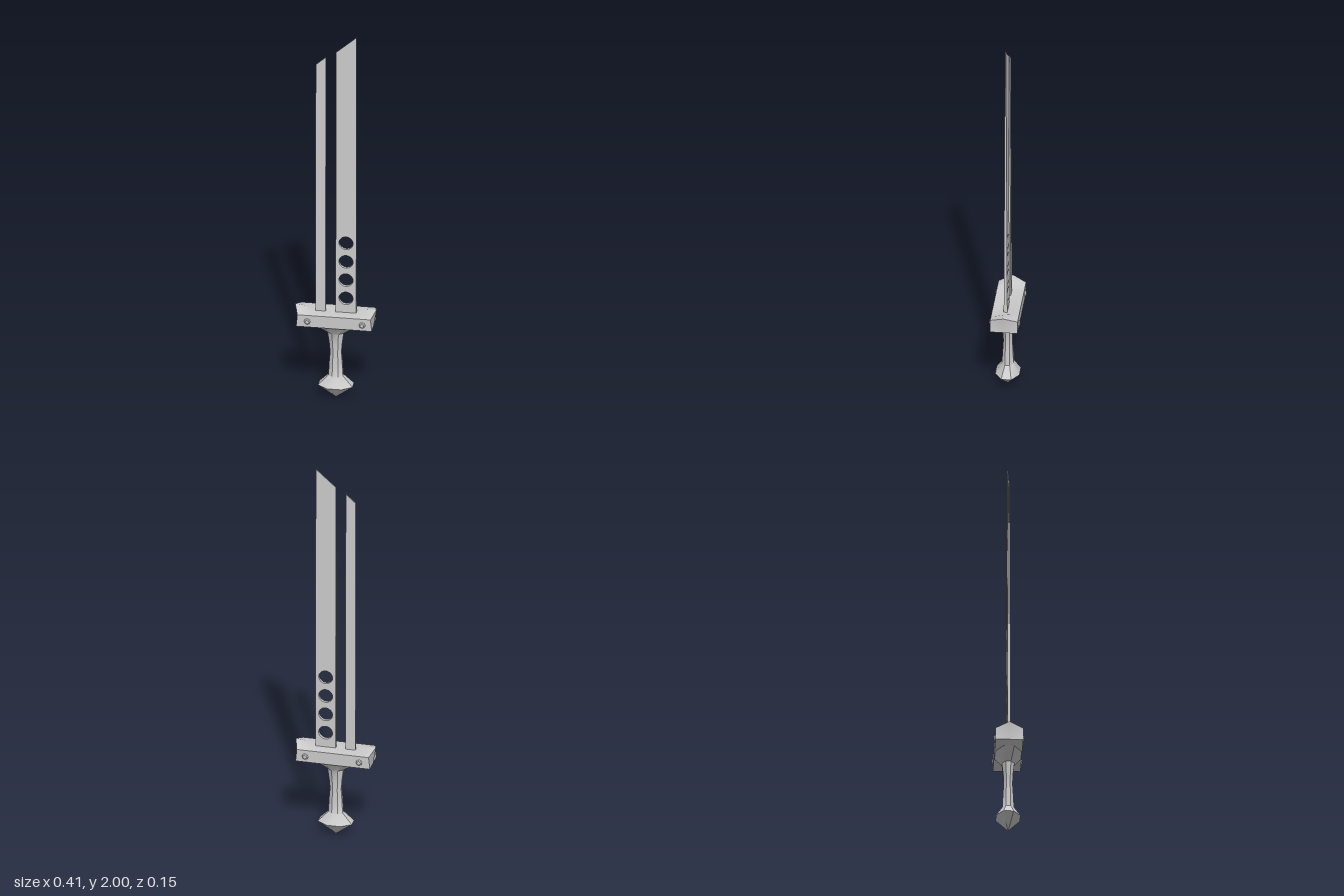
import * as THREE from 'three';
import { toCreasedNormals } from 'three/addons/utils/BufferGeometryUtils.js';

const material = new THREE.MeshStandardMaterial({ color: 0xcccccc });
const Z0 = -0.001;

function addMesh(group, geometry, name) {
  const mesh = new THREE.Mesh(toCreasedNormals(geometry, 0.6), material);
  mesh.name = name;
  group.add(mesh);
  return mesh;
}

// Skin through rings of equal point count, closed by fans at both ends
function loft(rings) {
  const n = rings[0].length;
  const index = [];
  for (let r = 0; r < rings.length - 1; r++) {
    for (let i = 0; i < n; i++) {
      const a = r * n + i, b = r * n + (i + 1) % n;
      index.push(a, a + n, b, b, a + n, b + n);
    }
  }
  const last = (rings.length - 1) * n;
  for (let i = 1; i < n - 1; i++) {
    index.push(0, i, i + 1, last, last + i + 1, last + i);
  }
  const geometry = new THREE.BufferGeometry();
  geometry.setAttribute('position', new THREE.Float32BufferAttribute(rings.flat(2), 3));
  geometry.setIndex(index);
  return geometry;
}

// Slanted flat blade, thinning towards the tip
function bladeGeometry(x0, x1, topLeft, topRight, holes) {
  const shape = new THREE.Shape();
  shape.moveTo(x0, 0.44);
  shape.lineTo(x1, 0.44);
  shape.lineTo(x1, topRight);
  shape.lineTo(x0, topLeft);
  shape.closePath();
  for (const y of holes) {
    const hole = new THREE.Path();
    hole.absarc((x0 + x1) / 2, y, 0.035, 0, Math.PI * 2, true);
    shape.holes.push(hole);
  }
  const geometry = new THREE.ExtrudeGeometry(shape, { depth: 2, bevelEnabled: false, curveSegments: 16 });
  const p = geometry.attributes.position;
  for (let i = 0; i < p.count; i++) {
    const half = THREE.MathUtils.mapLinear(p.getY(i), 0.44, 2, 0.009, 0.002);
    p.setZ(i, (p.getZ(i) - 1) * half);
  }
  return geometry;
}

export function createModel() {
  const group = new THREE.Group();

  // Twin blades
  addMesh(group, bladeGeometry(0, 0.102, 1.91, 2.0, [0.553, 0.654, 0.755, 0.858]), 'mainBlade');
  addMesh(group, bladeGeometry(-0.1, -0.05, 1.835, 1.88, []), 'sideBlade');

  // Crossguard: ridge rises at both ends, which come to a point in the middle
  // Station: x of bottom corners, x of top corners, x of ridge, ridge height
  const half = [[0.11, 0.11, 0.11, 0.475], [0.15, 0.15, 0.155, 0.494], [0.188, 0.182, 0.203, 0.5]];
  const mirrored = half.map(([a, b, c, h]) => [-a, -b, -c, h]).reverse();
  const guardRings = [...mirrored, ...half].map(([xb, xt, xr, ridge]) => [
    [xb, 0.41, Z0],
    [xb, 0.41, Z0 + 0.068],
    [xt, 0.474, Z0 + 0.068],
    [xr, ridge, Z0],
    [xt, 0.474, Z0 - 0.068],
    [xb, 0.41, Z0 - 0.068],
  ]);
  addMesh(group, loft(guardRings), 'crossguard');

  // Bolts on both faces of the guard
  for (const x of [-0.133, 0.14]) {
    for (const side of [1, -1]) {
      const bolt = addMesh(group, new THREE.CylinderGeometry(0.01, 0.019, 0.012, 8), 'guardBolt');
      bolt.rotation.x = side * Math.PI / 2;
      bolt.position.set(x, 0.44, Z0 + side * 0.07);
    }
  }

  // Eight-sided grip, flared into the guard and down to the pommel: y, half width, half depth
  const profile = [
    [0, 0.001, 0.001], [0.07, 0.086, 0.06], [0.122, 0.036, 0.029],
    [0.2, 0.032, 0.025], [0.25, 0.028, 0.022], [0.3, 0.032, 0.024],
    [0.36, 0.04, 0.031], [0.412, 0.115, 0.066],
  ];
  const k = 1 / Math.cos(Math.PI / 8);
  const gripRings = profile.map(([y, w, d]) => {
    const ring = [];
    for (let i = 0; i < 8; i++) {
      const a = (i + 0.5) * Math.PI / 4;
      ring.push([Math.cos(a) * w * k, y, Z0 + Math.sin(a) * d * k]);
    }
    return ring;
  });
  addMesh(group, loft(gripRings), 'gripAndPommel');

  return group;
}
